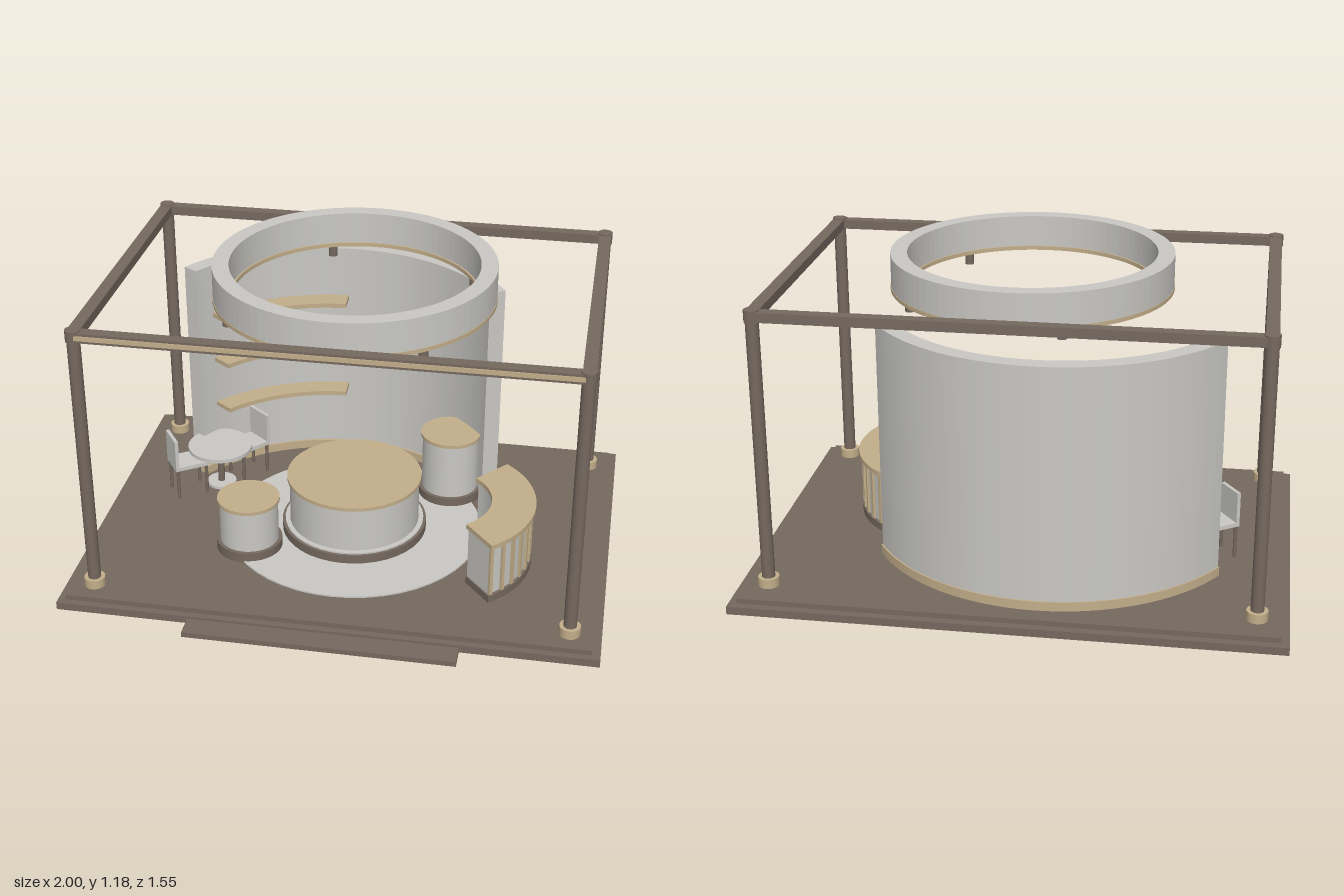
import * as THREE from 'three';

const mat = (name, color) => Object.assign(new THREE.MeshStandardMaterial({ color }), { name });

export function createModel() {
  const brown = mat('dark brown', 0x75695f);
  const grey = mat('light grey', 0xc9c8c4);
  const tan = mat('tan wood', 0xc3ae8a);
  const root = new THREE.Group();
  root.name = 'exhibitionBooth';
  const deg = Math.PI / 180;

  // Helpers: every part is given by its vertical range y0..y1
  const add = (name, geo, material, parent = root) => {
    const m = new THREE.Mesh(geo, material);
    m.name = name;
    parent.add(m);
    return m;
  };
  const box = (name, material, x0, x1, y0, y1, z0, z1, parent) =>
    add(name, new THREE.BoxGeometry(x1 - x0, y1 - y0, z1 - z0), material, parent)
      .position.set((x0 + x1) / 2, (y0 + y1) / 2, (z0 + z1) / 2);
  const cyl = (name, material, x, z, r, y0, y1, parent, sides = 32) =>
    add(name, new THREE.CylinderGeometry(r, r, y1 - y0, sides), material, parent)
      .position.set(x, (y0 + y1) / 2, z);
  // Ring sector; angles in degrees, 0 = +x, 90 = back
  const arc = (name, material, x, z, rIn, rOut, a0, a1, y0, y1, parent, segs = 32) => {
    const s = new THREE.Shape();
    s.absarc(0, 0, rOut, a0 * deg, a1 * deg, false);
    if (a1 - a0 >= 360) {
      s.holes.push(new THREE.Path().absarc(0, 0, rIn, 0, Math.PI * 2, true));
    } else {
      s.absarc(0, 0, rIn, a1 * deg, a0 * deg, true);
      s.closePath();
    }
    const g = new THREE.ExtrudeGeometry(s, { depth: y1 - y0, bevelEnabled: false, curveSegments: segs });
    g.rotateX(-Math.PI / 2);
    add(name, g, material, parent).position.set(x, y0, z);
  };
  const group = (name) => {
    const g = new THREE.Group();
    g.name = name;
    root.add(g);
    return g;
  };

  // Stepped platform
  const platform = group('platform');
  box('lowerSlab', brown, -1, 1, 0, 0.03, -0.775, 0.685, platform);
  box('upperSlab', brown, -0.97, 0.97, 0.03, 0.05, -0.745, 0.66, platform);
  box('frontStep', brown, -0.5, 0.5, 0, 0.02, 0.685, 0.77, platform);
  cyl('floorDisc', grey, 0, 0, 0.5, 0.05, 0.056, platform, 48);

  // Frame of posts and beams
  const frame = group('frame');
  const px = 0.884, zf = 0.57, zb = -0.622;
  for (const x of [-px, px]) {
    for (const z of [zf, zb]) {
      cyl('post', brown, x, z, 0.024, 0.05, 1.07, frame, 16);
      cyl('postFoot', tan, x, z, 0.039, 0.05, 0.085, frame, 20);
      cyl('postCap', brown, x, z, 0.028, 1.064, 1.108, frame, 16);
    }
    box('sideBeam', brown, x - 0.023, x + 0.023, 1.067, 1.103, zb, zf, frame);
  }
  for (const z of [zf, zb])
    box('crossBeam', brown, -px, px, 1.067, 1.103, z - 0.022, z + 0.022, frame);
  box('frontBeamStripe', tan, -px, px, 1.077, 1.094, zf + 0.022, zf + 0.026, frame);

  // Hanging ring with spotlights
  const canopy = group('ceilingRing');
  const rz = -0.014;
  arc('ringBand', grey, 0, rz, 0.46, 0.522, 0, 360, 1.06, 1.18, canopy, 48);
  arc('ringTrim', tan, 0, rz, 0.453, 0.524, 0, 360, 1.045, 1.06, canopy, 48);
  for (const [x, z] of [[-0.425, 0.23], [-0.168, -0.463], [0.307, 0.36], [0.414, -0.25]])
    cyl('spotlight', brown, x, z, 0.017, 1.0, 1.046, canopy, 12);

  // Curved back wall with shelves
  const wall = group('backWall');
  const wx = -0.102, wz = 0.067;
  arc('wallPanel', grey, wx, wz, 0.672, 0.737, 31, 149, 0.05, 0.97, wall, 36);
  arc('wallSkirting', tan, wx, wz, 0.662, 0.743, 31, 149, 0.05, 0.085, wall, 36);
  for (const y of [0.345, 0.548, 0.746])
    arc('shelf', tan, wx, wz, 0.585, 0.673, 92.5, 142.5, y, y + 0.018, wall, 16);

  // Central round counter
  const counter = group('roundCounter');
  cyl('counterPlinth', brown, 0, 0, 0.283, 0.055, 0.09, counter, 40);
  cyl('counterTrim', grey, 0, 0, 0.272, 0.09, 0.096, counter, 40);
  cyl('counterBody', grey, 0, 0, 0.253, 0.096, 0.276, counter, 40);
  cyl('counterTop', tan, 0, 0, 0.262, 0.276, 0.29, counter, 40);

  // Two small display pedestals
  for (const [x, z, h] of [[-0.375, 0.21, 0.27], [0.338, -0.318, 0.332]]) {
    const p = group('pedestal');
    cyl('pedestalPlinth', brown, x, z, 0.127, 0.05, 0.09, p);
    cyl('pedestalBody', grey, x, z, 0.113, 0.09, h - 0.014, p);
    cyl('pedestalTop', tan, x, z, 0.12, h - 0.014, h, p);
  }

  // Curved reception desk with vertical slats
  const desk = group('receptionDesk');
  const dx = 0.336, dz = 0.15;
  arc('deskPlinth', brown, dx, dz, 0.222, 0.374, -50, 50, 0.05, 0.08, desk, 20);
  arc('deskBody', grey, dx, dz, 0.226, 0.362, -49, 49, 0.08, 0.287, desk, 20);
  arc('deskTop', tan, dx, dz, 0.215, 0.382, -50, 50, 0.287, 0.306, desk, 20);
  for (let i = 0; i < 12; i++) {
    const a = (-48 + (i * 96) / 11) * deg;
    const slat = add('deskSlat', new THREE.BoxGeometry(0.012, 0.207, 0.014), tan, desk);
    slat.position.set(dx + Math.cos(a) * 0.366, 0.1835, dz - Math.sin(a) * 0.366);
    slat.rotation.y = a;
  }

  // Bistro table
  const tx = -0.597, tz = -0.225;
  const table = group('table');
  cyl('tableTop', grey, tx, tz, 0.13, 0.215, 0.23, table);
  cyl('tableStem', brown, tx, tz, 0.014, 0.06, 0.215, table, 12);
  cyl('tableFoot', grey, tx, tz, 0.06, 0.05, 0.062, table, 24);

  // Chairs; local +z points away from the table
  for (const [ax, az] of [[-0.83, 0.56], [0.64, -0.77]]) {
    const c = group('chair');
    c.position.set(tx + ax * 0.14, 0, tz + az * 0.14);
    c.rotation.y = Math.atan2(ax, az);
    box('seat', grey, -0.057, 0.057, 0.178, 0.194, -0.07, 0.07, c);
    box('backrest', grey, -0.057, 0.057, 0.194, 0.315, 0.056, 0.07, c);
    for (const x of [-0.048, 0.048])
      for (const z of [-0.06, 0.06]) cyl('chairLeg', brown, x, z, 0.007, 0.05, 0.178, c, 8);
  }
  return root;
}
